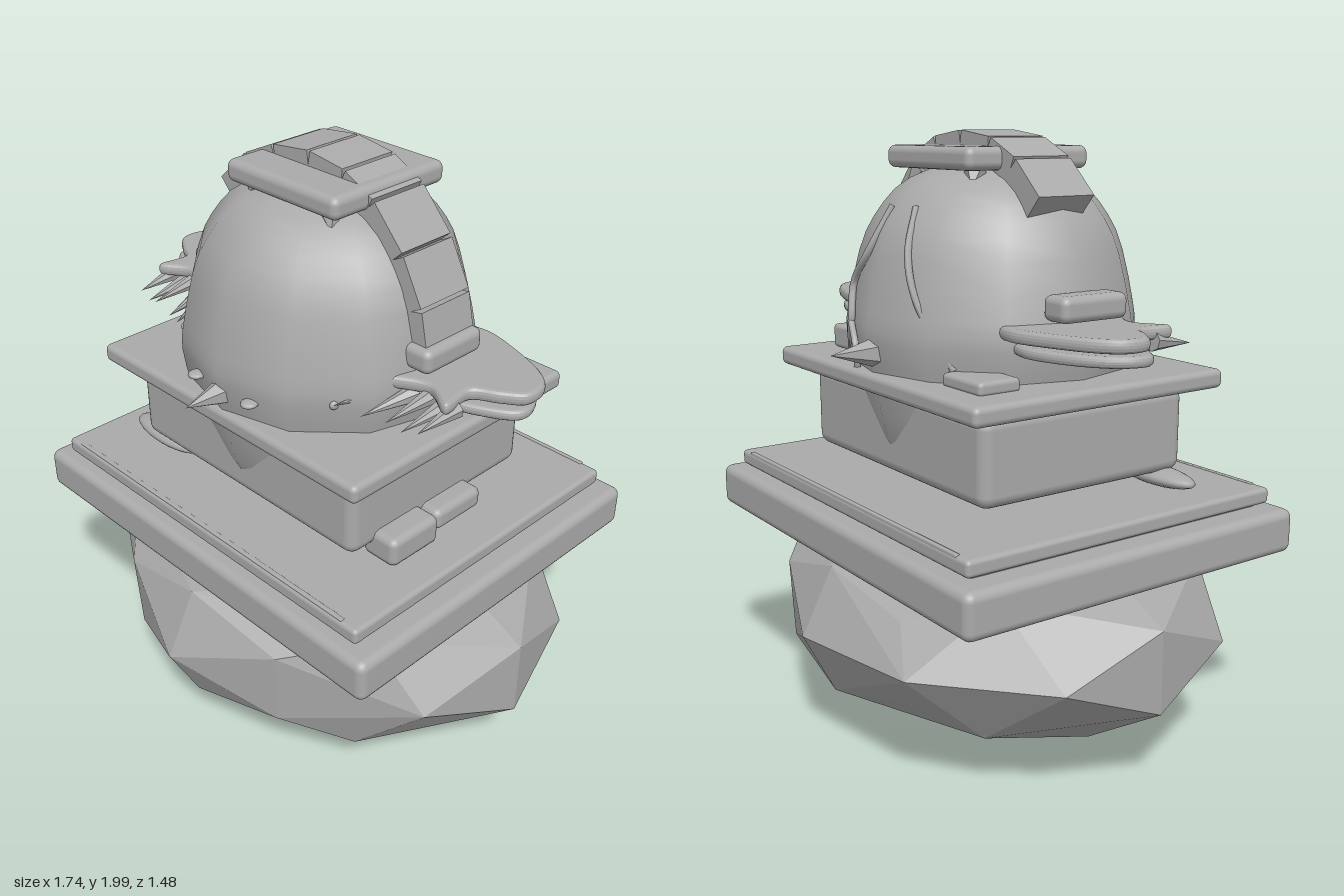
import * as THREE from 'three';
import { RoundedBoxGeometry } from 'three/addons/geometries/RoundedBoxGeometry.js';
import { ConvexGeometry } from 'three/addons/geometries/ConvexGeometry.js';

const stone = new THREE.MeshStandardMaterial({ color: 0xaaaaaa });
stone.name = 'stone grey';
const V = (x, y, z) => new THREE.Vector3(x, y, z);

export function createModel() {
  const model = new THREE.Group();
  model.name = 'statue';

  const add = (name, geometry, x = 0, y = 0, z = 0, parent = model) => {
    const mesh = new THREE.Mesh(geometry, stone);
    mesh.name = name;
    mesh.position.set(x, y, z);
    parent.add(mesh);
    return mesh;
  };

  // Rounded block given by its limits on each axis
  const block = (name, x0, x1, y0, y1, z0, z1, r = 0.02) =>
    add(name, new RoundedBoxGeometry(x1 - x0, y1 - y0, z1 - z0, 3, r),
      (x0 + x1) / 2, (y0 + y1) / 2, (z0 + z1) / 2);

  // Faceted cone from a base point to a tip
  const spike = (name, from, to, radius, sides = 6, parent = model) => {
    const dir = to.clone().sub(from);
    const cone = new THREE.ConeGeometry(radius, dir.length(), sides).toNonIndexed();
    cone.computeVertexNormals();
    const mid = from.clone().add(to).multiplyScalar(0.5);
    const mesh = add(name, cone, mid.x, mid.y, mid.z, parent);
    mesh.quaternion.setFromUnitVectors(V(0, 1, 0), dir.normalize());
    return mesh;
  };

  // Faceted boulder: hull of a few points mirrored in x and z, plus two odd bulges
  const corners = [
    [0, 0.01, 0], [0.54, 0.085, 0], [0, 0.075, 0.37], [0, 0.215, 0.63],
    [0.55, 0.2, 0.42], [0.87, 0.3, 0], [0.87, 0.57, 0], [0.78, 0.43, 0.35],
    [0.36, 0.29, 0.59], [0, 0.43, 0.74], [0.37, 0.56, 0.6], [0, 0.645, 0.63],
    [0.6, 0.65, 0.4], [0.62, 0.69, 0], [0.3, 0.7, 0.4],
  ];
  const hull = [V(-0.5, 0.45, -0.67), V(-0.85, 0.45, -0.35)];
  for (const [x, y, z] of corners) {
    for (const sx of x ? [1, -1] : [1]) {
      for (const sz of z ? [1, -1] : [1]) {
        const shift = x * z ? 0.015 * sx * sz : 0;
        hull.push(V(x * sx, y + shift, z * sz));
      }
    }
  }
  add('boulder', new ConvexGeometry(hull));

  // Stepped base and box around the body
  block('baseSlab', -0.81, 0.765, 0.67, 0.815, -0.66, 0.62, 0.03);
  block('baseGap', -0.71, 0.66, 0.79, 0.84, -0.58, 0.54, 0.01);
  block('upperSlab', -0.74, 0.695, 0.825, 0.878, -0.61, 0.575, 0.015);
  for (const z of [-0.6, 0.56]) block('slabStrip', -0.68, 0.63, 0.865, 0.881, z - 0.008, z + 0.008, 0.004);
  block('bodyBox', -0.53, 0.49, 0.92, 1.2, -0.41, 0.385, 0.04);
  block('collar', -0.62, 0.575, 1.2, 1.262, -0.5, 0.465, 0.02);
  block('collarBlockRight', -0.5, -0.3, 1.255, 1.3, -0.4, -0.25, 0.015);
  block('collarBlockLeft', 0.2, 0.37, 1.28, 1.36, -0.4, -0.3, 0.015);

  // Blocks and pebble lying on the base
  block('sideBlockFront', 0.44, 0.575, 0.875, 0.975, 0.08, 0.29, 0.025);
  block('sideBlockBack', 0.44, 0.56, 0.895, 0.97, -0.14, 0.075, 0.025);
  add('pebble', new THREE.SphereGeometry(1, 20, 12), -0.48, 0.905, 0.32).scale.set(0.17, 0.03, 0.06);

  // Egg-shaped body with few sides and smooth shading
  const eggProfile = new THREE.SplineCurve([
    [0, 0.865], [0.18, 0.88], [0.32, 0.92], [0.395, 1.0], [0.445, 1.19], [0.475, 1.35],
    [0.467, 1.45], [0.422, 1.64], [0.365, 1.75], [0.28, 1.84], [0.13, 1.9], [0, 1.915],
  ].map(([r, y]) => new THREE.Vector2(r, y))).getPoints(24);
  eggProfile.forEach((p) => { p.x = Math.max(p.x, 0); });
  add('body', new THREE.LatheGeometry(eggProfile, 12), -0.015, 0, -0.01).scale.x = 1.04;

  // Cap and little teeth beneath it
  block('cap', -0.235, 0.24, 1.88, 1.952, -0.255, 0.215, 0.025);
  for (const x of [-0.17, 0.17]) {
    for (const z of [-0.19, 0.16]) spike('capTooth', V(x * 0.9, 1.875, z * 0.9), V(x * 1.1, 1.825, z * 1.1), 0.04, 5);
  }

  // Crest of blocks set end to end along an arc
  const crest = [[-0.425, 1.805], [-0.3, 1.92], [-0.17, 1.98], [-0.01, 2], [0.14, 1.98],
    [0.26, 1.92], [0.38, 1.79], [0.46, 1.64], [0.49, 1.5]];
  for (let i = 0; i < crest.length - 1; i++) {
    const [ax, ay] = crest[i];
    const [bx, by] = crest[i + 1];
    const length = Math.hypot(bx - ax, by - ay);
    const angle = Math.atan2(by - ay, bx - ax);
    const depth = 0.085;
    const mesh = add('crestBlock', new THREE.BoxGeometry(length - 0.012, depth, 0.21),
      (ax + bx) / 2 + Math.sin(angle) * depth / 2, (ay + by) / 2 - Math.cos(angle) * depth / 2, -0.025);
    mesh.rotation.z = angle;
  }

  // Face spike, back spike and small eyes
  spike('noseSpike', V(-0.02, 1.32, 0.42), V(-0.02, 1.32, 0.585), 0.05);
  spike('backSpike', V(-0.02, 1.325, -0.44), V(-0.02, 1.33, -0.62), 0.055);
  for (const side of [-1, 1]) {
    add('eye', new THREE.SphereGeometry(1, 12, 8), -0.02 + side * 0.125, 1.33, 0.44).scale.set(0.028, 0.012, 0.03);
    add('cheekBump', new THREE.SphereGeometry(1, 12, 8), -0.02 + side * 0.35, 1.365, 0.3).scale.set(0.012, 0.016, 0.02);
  }

  // Flat horizontal plate from an outline in x and z
  const plate = (points, thickness) => {
    const shape = new THREE.Shape();
    shape.moveTo(...points[0]);
    shape.splineThru(points.slice(1).map((p) => new THREE.Vector2(...p)));
    const bevel = thickness * 0.4;
    return new THREE.ExtrudeGeometry(shape, {
      depth: thickness - 2 * bevel, bevelThickness: bevel, bevelSize: 0.016, bevelOffset: -0.012,
      bevelSegments: 3, curveSegments: 28,
    }).rotateX(Math.PI / 2);
  };

  // Shoulder pads and fringed wings, one per side
  for (const side of [1, -1]) {
    const wing = new THREE.Group();
    wing.name = side > 0 ? 'leftWing' : 'rightWing';
    wing.position.x = -0.025;
    model.add(wing);
    const outline = (list) => list.map(([x, z]) => [x * side, z]);
    const upper = outline([[0.37, -0.26], [0.47, -0.275], [0.6, -0.24], [0.72, -0.19], [0.785, -0.13],
      [0.79, -0.05], [0.73, 0], [0.655, 0.05], [0.66, 0.16], [0.56, 0.11], [0.46, 0.15], [0.39, 0.2], [0.35, 0.1]]);
    add('upperPlate', plate(upper, 0.042), 0, 1.425, 0, wing);
    const lower = outline([[0.38, -0.22], [0.5, -0.25], [0.65, -0.21], [0.76, -0.13], [0.785, -0.03],
      [0.68, 0.04], [0.55, 0.08], [0.4, 0.1]]);
    add('lowerPlate', plate(lower, 0.035), 0, 1.376, 0, wing);
    // Pointed feathers along the front edge
    [[0.65, 0.1, 0.645, 0.26], [0.6, 0.08, 0.59, 0.27], [0.55, 0.08, 0.54, 0.28],
      [0.49, 0.1, 0.45, 0.29], [0.44, 0.12, 0.37, 0.32]].forEach(([ax, az, bx, bz], i) => {
      const y = 1.395 - (i % 2) * 0.015;
      spike('feather', V(ax * side, y, az), V(bx * side, y - 0.02, bz), 0.03, 7, wing);
    });
    add('shoulderPad', new RoundedBoxGeometry(0.11, 0.08, 0.25, 3, 0.025), 0.485 * side, 1.49, -0.02, wing);
  }

  // Raised cracks running down the back
  const cracks = [
    [[-0.08, 1.77, -0.34], [-0.14, 1.63, -0.41], [-0.2, 1.5, -0.42], [-0.31, 1.3, -0.36]],
    [[0.04, 1.77, -0.35], [0.08, 1.62, -0.425], [0.17, 1.52, -0.425], [0.14, 1.4, -0.455], [0.27, 1.27, -0.385]],
    [[0.14, 1.4, -0.455], [0.08, 1.33, -0.475], [0.09, 1.26, -0.465]],
  ];
  for (const path of cracks) {
    const curve = new THREE.CatmullRomCurve3(path.map((p) => V(...p)));
    add('crack', new THREE.TubeGeometry(curve, 24, 0.012, 6));
  }

  return model;
}
